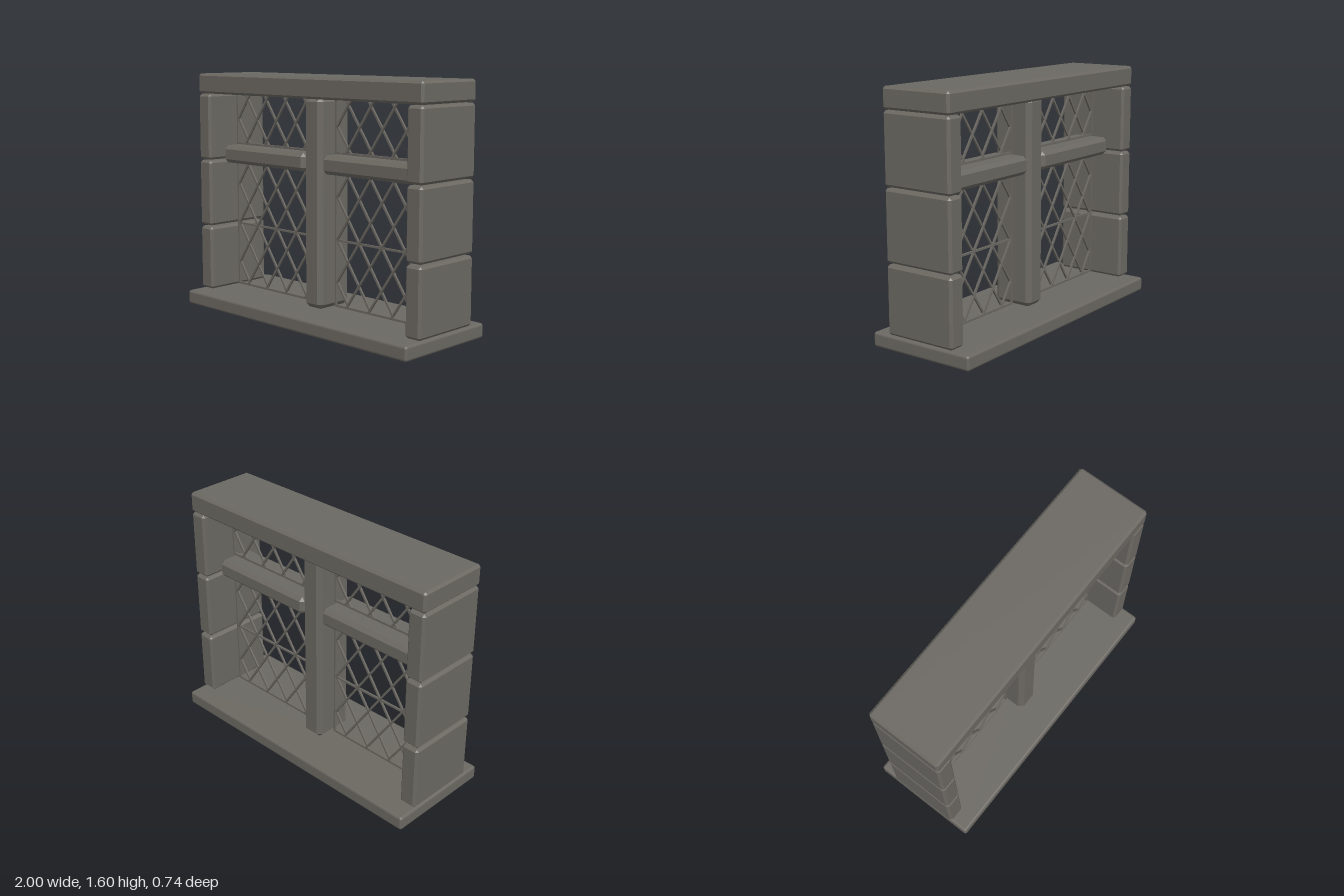
import * as THREE from 'three';
import { RoundedBoxGeometry } from 'three/addons/geometries/RoundedBoxGeometry.js';
import { ConvexGeometry } from 'three/addons/geometries/ConvexGeometry.js';

// Box with every edge cut by a flat chamfer c
function chamferBox(w, h, d, c) {
  const pts = [];
  const [x, y, z] = [w / 2, h / 2, d / 2];
  for (const a of [-1, 1]) for (const b of [-1, 1]) for (const e of [-1, 1]) {
    pts.push(new THREE.Vector3(a * x, b * (y - c), e * (z - c)));
    pts.push(new THREE.Vector3(a * (x - c), b * y, e * (z - c)));
    pts.push(new THREE.Vector3(a * (x - c), b * (y - c), e * z));
  }
  return new ConvexGeometry(pts);
}

export function createModel() {
  const model = new THREE.Group();
  model.name = 'stoneWindow';
  const stone = new THREE.MeshStandardMaterial({ color: 0x6b6862 });
  stone.name = 'grey stone';

  function add(parent, name, geometry, x, y, z = 0) {
    const mesh = new THREE.Mesh(geometry, stone);
    mesh.name = name;
    mesh.position.set(x, y, z);
    parent.add(mesh);
    return mesh;
  }

  // Sill, lintel and centre post
  add(model, 'sill', new RoundedBoxGeometry(2, 0.095, 0.74, 2, 0.018), 0, 0.0475);
  add(model, 'lintel', chamferBox(2, 0.135, 0.5, 0.015), 0, 1.5325);
  add(model, 'mullion', chamferBox(0.16, 1.37, 0.28, 0.03), 0, 0.785);

  // Straight lattice rod between two points in the window plane
  function rod(parent, name, x1, y1, x2, y2, t, z = 0) {
    const length = Math.hypot(x2 - x1, y2 - y1);
    const mesh = add(parent, name, new THREE.BoxGeometry(length, t, t), (x1 + x2) / 2, (y1 + y2) / 2, z);
    mesh.rotation.z = Math.atan2(y2 - y1, x2 - x1);
  }

  const stepX = 0.0963, stepY = 0.14;
  const left = 0.095, right = 0.865;

  // Framed pane of crossing rods; one crossing lies at (left, crossY)
  function lattice(name, bottom, top, crossY) {
    const pane = new THREE.Group();
    pane.name = name;
    const slope = stepY / stepX;
    for (const dir of [1, -1]) {
      for (let k = -8; k <= 8; k++) {
        // Line y = y0 + dir * slope * (x - left), clipped to the pane
        const y0 = crossY + k * 2 * stepY;
        const xAt = (y) => left + (y - y0) / (dir * slope);
        const xa = Math.max(left, Math.min(xAt(bottom), xAt(top)));
        const xb = Math.min(right, Math.max(xAt(bottom), xAt(top)));
        if (xb - xa < 0.004) continue;
        const yAt = (x) => y0 + dir * slope * (x - left);
        rod(pane, 'diagonalRod', xa, yAt(xa), xb, yAt(xb), 0.013, dir * 0.003);
      }
    }
    for (const y of [bottom, top]) rod(pane, 'frameRail', 0.08, y, 0.88, y, 0.014);
    for (const x of [0.085, 0.875]) rod(pane, 'frameStile', x, bottom, x, top, 0.014);
    return pane;
  }

  for (const side of [1, -1]) {
    const half = new THREE.Group();
    half.name = side > 0 ? 'leftHalf' : 'rightHalf';

    // Stacked jamb blocks
    for (const [y0, y1] of [[0.1, 0.538], [0.55, 1.002], [1.01, 1.46]]) {
      add(half, 'jambBlock', chamferBox(0.12, y1 - y0, 0.5, 0.016), 0.94, (y0 + y1) / 2);
    }

    // Transom and leaded panes
    add(half, 'transom', chamferBox(0.8, 0.12, 0.27, 0.025), 0.48, 1.045);
    half.add(lattice('upperLattice', 1.112, 1.46, 1.28));
    half.add(lattice('lowerLattice', 0.11, 0.975, 0.545));
    rod(half, 'crossBar', 0.08, 0.545, 0.88, 0.545, 0.013);

    // Half turn makes the opposite side
    if (side < 0) half.rotation.y = Math.PI;
    model.add(half);
  }
  return model;
}
